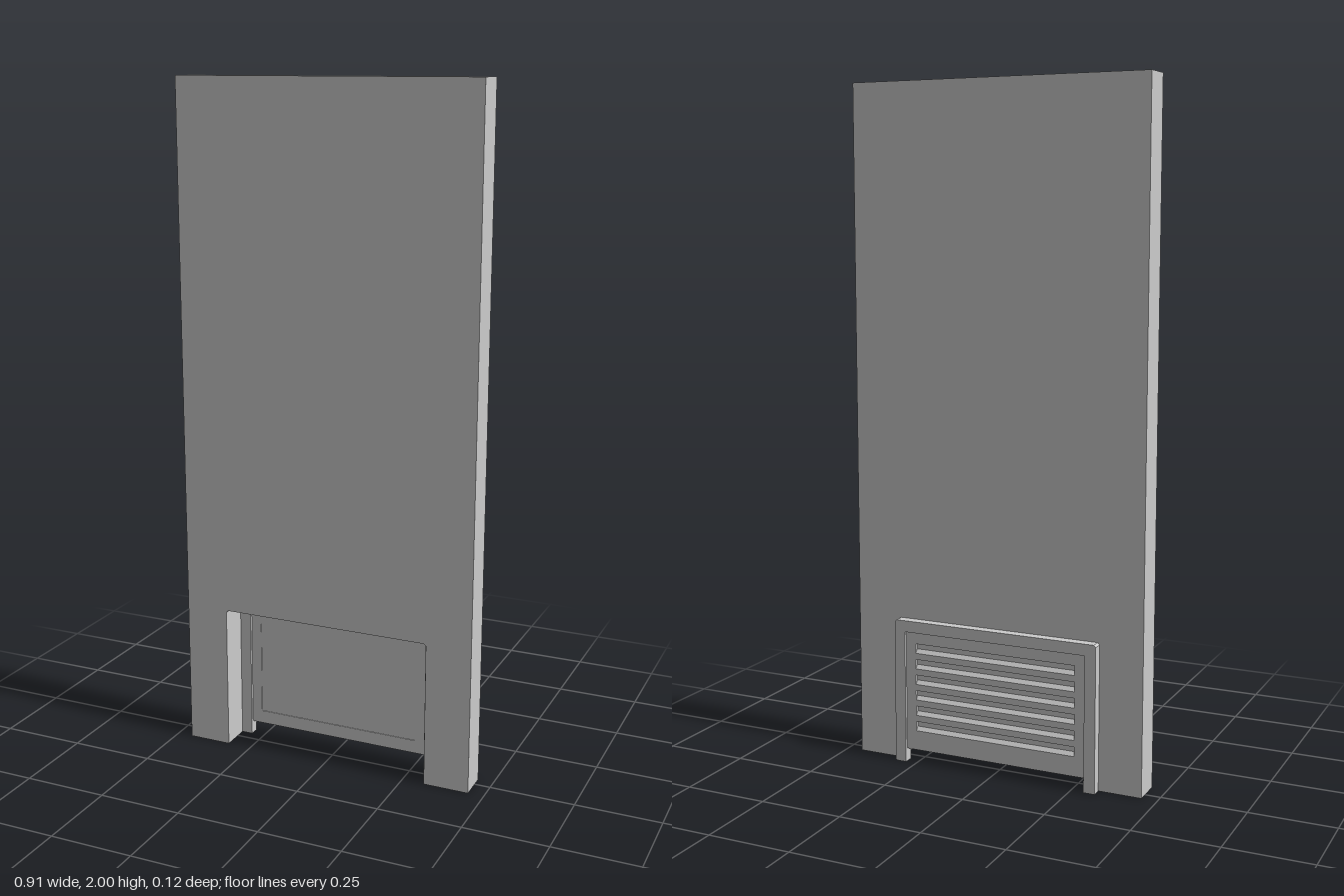
import * as THREE from 'three';

const material = new THREE.MeshStandardMaterial({ color: 0xcccccc, flatShading: true });
const CX = -0.003; // the opening sits a hair off centre

const shapeOf = (pts) => new THREE.Shape(pts.map(([x, y]) => new THREE.Vector2(x, y)));

// Outline of a portal: half width, top height, clipped upper corners
const arch = (w, top, c) => [[CX + w, 0], [CX + w, top - c], [CX + w - c, top],
  [CX - w + c, top], [CX - w, top - c], [CX - w, 0]];
const rect = (w, y0, y1) => [[CX - w, y0], [CX + w, y0], [CX + w, y1], [CX - w, y1]];

// Extrude an outline from z0 to z1
function slab(name, shape, z0, z1) {
  const geometry = new THREE.ExtrudeGeometry(shape, { depth: z1 - z0, bevelEnabled: false });
  geometry.translate(0, 0, z0);
  const mesh = new THREE.Mesh(geometry, material);
  mesh.name = name;
  return mesh;
}

export function createModel() {
  const model = new THREE.Group();
  model.name = 'wallWithVent';

  // Tall wall with a doorway cut from its lower edge
  const W = 0.453;
  const wall = shapeOf([[-W, 0], ...arch(0.32, 0.436, 0.006).reverse(), [W, 0], [W, 2], [-W, 2]]);
  model.add(slab('wall', wall, -0.031, 0.06));

  // Surround standing proud of the back
  const surround = shapeOf([...arch(0.32, 0.436, 0.006), ...arch(0.286, 0.402, 0).reverse()]);
  model.add(slab('surround', surround, -0.061, -0.031));

  // Vent panel: rim, thin backing sheet and louvres
  const vent = new THREE.Group();
  vent.name = 'ventPanel';
  const rim = shapeOf(rect(0.286, 0.04, 0.402));
  rim.holes.push(shapeOf(rect(0.254, 0.08, 0.367)));
  vent.add(slab('ventRim', rim, -0.053, -0.039));
  vent.add(slab('ventBacking', shapeOf(rect(0.254, 0.08, 0.367)), -0.044, -0.041));

  // Each louvre slopes down and outward to a flat lip
  const count = 6, pitch = (0.367 - 0.08) / count;
  for (let i = 0; i < count; i++) {
    const y = 0.08 + i * pitch;
    const section = shapeOf([[0.043, y], [0.053, y], [0.053, y + 0.019], [0.043, y + 0.032]]);
    const geometry = new THREE.ExtrudeGeometry(section, { depth: 0.508, bevelEnabled: false });
    geometry.rotateY(Math.PI / 2); // section x becomes -z, length becomes x
    geometry.translate(CX - 0.254, 0, 0);
    const louvre = new THREE.Mesh(geometry, material);
    louvre.name = 'louvre';
    vent.add(louvre);
  }
  model.add(vent);
  return model;
}
